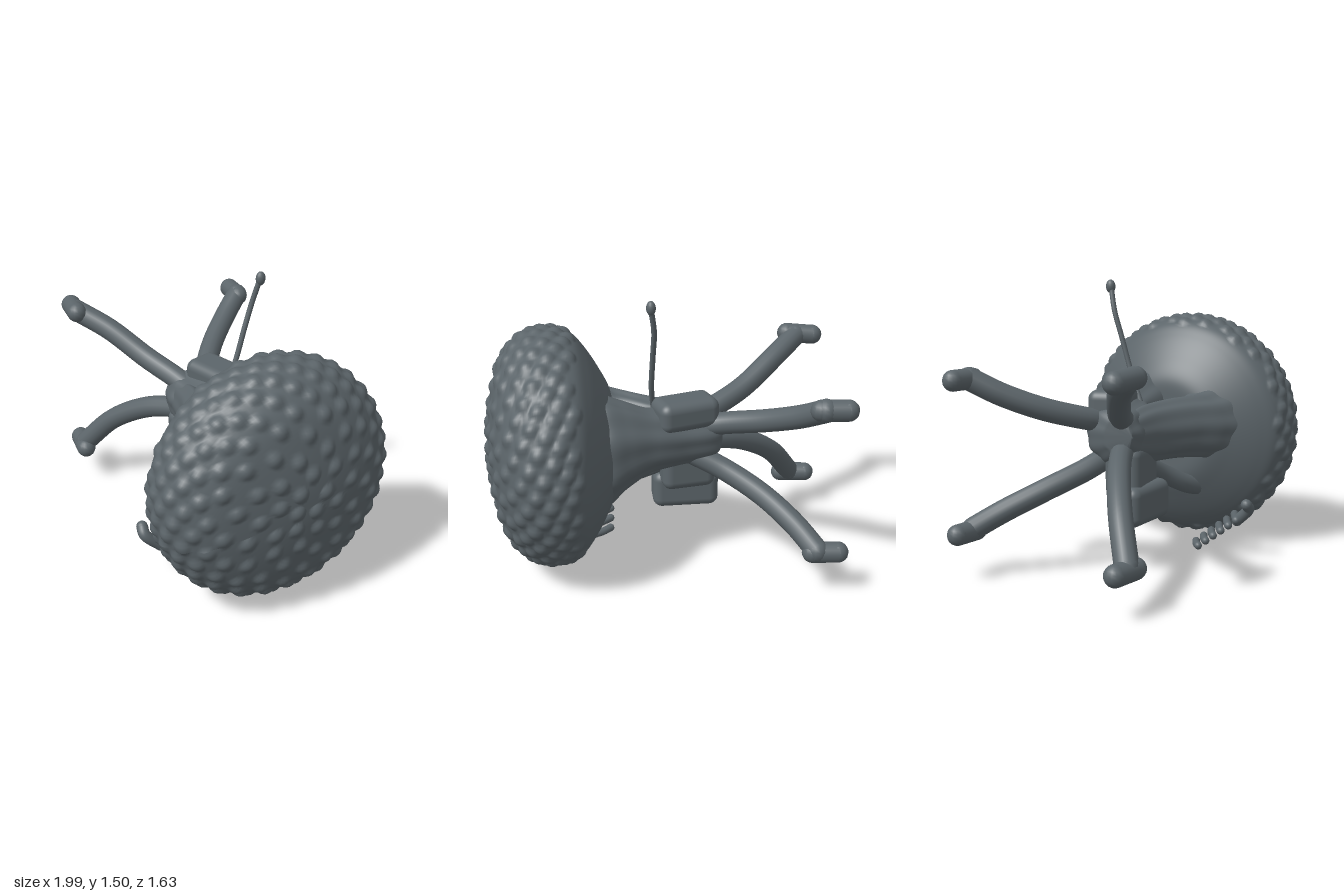
import * as THREE from 'three';
import { RoundedBoxGeometry } from 'three/addons/geometries/RoundedBoxGeometry.js';

const material = new THREE.MeshStandardMaterial({ color: 0x5c656a, side: THREE.DoubleSide });
const vec = (p) => new THREE.Vector3(...p);

export function createModel() {
  const model = new THREE.Group();

  const add = (name, geometry, parent = model) => {
    const mesh = new THREE.Mesh(geometry, material);
    mesh.name = name;
    parent.add(mesh);
    return mesh;
  };

  // Skin over elliptical sections: each is [x, y, z, halfHeight, halfDepth] across the x axis
  const loft = (sections, ripple = 0, sides = 60, steps = 40) => {
    const centres = new THREE.CatmullRomCurve3(sections.map(([x, y, z]) => vec([x, y, z])));
    const sizes = new THREE.CatmullRomCurve3(sections.map(([, , , h, d]) => vec([h, d, 0])));
    const pos = [], index = [];
    for (let i = 0; i <= steps; i++) {
      const c = centres.getPoint(i / steps), s = sizes.getPoint(i / steps);
      for (let j = 0; j < sides; j++) {
        const a = (j / sides) * Math.PI * 2;
        const k = 1 + ripple * Math.sin(a * 9 + i * 0.05);
        pos.push(c.x, c.y + Math.sin(a) * s.x * k, c.z + Math.cos(a) * s.y * k);
        if (i < steps) {
          const n = (j + 1) % sides, p = i * sides;
          index.push(p + j, p + j + sides, p + n, p + n, p + j + sides, p + n + sides);
        }
      }
    }
    const last = steps * sides;
    for (let j = 1; j < sides - 1; j++) {
      index.push(0, j, j + 1, last, last + j + 1, last + j);
    }
    const g = new THREE.BufferGeometry();
    g.setAttribute('position', new THREE.Float32BufferAttribute(pos, 3));
    g.setIndex(index);
    g.computeVertexNormals();
    return g;
  };

  // Rounded rod along a smooth path
  const rod = (name, points, radius, parent = model) => {
    const curve = new THREE.CatmullRomCurve3(points.map(vec));
    add(name, new THREE.TubeGeometry(curve, 32, radius, 14), parent);
    for (const p of [points[0], points.at(-1)]) {
      add(name + 'End', new THREE.SphereGeometry(radius, 14, 10), parent).position.set(...p);
    }
  };

  // Round cushion: lathe profile [radius, distance along axis]
  const profile = [[0, -0.325], [0.15, -0.325], [0.28, -0.32], [0.4, -0.265], [0.52, -0.19], [0.592, -0.12],
    [0.622, -0.01], [0.605, 0.1], [0.54, 0.19], [0.43, 0.26], [0.26, 0.305], [0.1, 0.327], [0, 0.33]];
  const outline = new THREE.SplineCurve(profile.map(([r, t]) => new THREE.Vector2(r, t))).getPoints(130);
  outline.forEach((p) => { p.x = Math.max(p.x, 0); });
  const cushion = new THREE.LatheGeometry(outline, 200);
  // Round knobs in a sunflower spread over the dome and rim
  const knobs = [];
  for (let i = 0; i < 230; i++) {
    const f = 0.42 + 0.56 * Math.sqrt((i + 0.5) / 230);
    const p = outline[Math.round((1.4 - f) * 130) % 131];
    const a = i * 2.39996;
    knobs.push(new THREE.Vector3(Math.sin(a) * p.x, p.y, Math.cos(a) * p.x));
  }
  const pos = cushion.attributes.position, nor = cushion.attributes.normal;
  const point = new THREE.Vector3(), normal = new THREE.Vector3();
  for (let i = 0; i < pos.count; i++) {
    point.fromBufferAttribute(pos, i);
    normal.fromBufferAttribute(nor, i);
    let height = 0;
    for (const k of knobs) height = Math.max(height, 1 - point.distanceToSquared(k) / 0.0018);
    point.addScaledVector(normal, 0.018 * height);
    pos.setXYZ(i, point.x, point.y, point.z);
  }
  cushion.computeVertexNormals();
  const seat = add('cushion', cushion);
  const tilt = 0.27;
  const axis = new THREE.Vector3(Math.cos(tilt), 0, Math.sin(tilt));
  seat.quaternion.setFromUnitVectors(new THREE.Vector3(0, 1, 0), axis);
  seat.position.set(0.6, 0.665, 0.2);

  // Fluted neck splitting into a back and a front branch that flare into the cushion
  add('neckBackBranch', loft([
    [-0.28, 0.72, 0.0, 0.09, 0.07], [-0.2, 0.71, -0.04, 0.15, 0.15], [0, 0.71, -0.03, 0.16, 0.165],
    [0.15, 0.72, -0.06, 0.17, 0.14], [0.3, 0.71, -0.04, 0.24, 0.17], [0.42, 0.68, -0.01, 0.31, 0.2],
    [0.54, 0.67, 0.02, 0.3, 0.18],
  ], 0.03));
  add('neckFrontBranch', loft([
    [-0.22, 0.7, 0.02, 0.11, 0.07], [-0.05, 0.7, 0.08, 0.15, 0.11], [0.1, 0.71, 0.19, 0.16, 0.15],
    [0.21, 0.71, 0.31, 0.17, 0.17], [0.33, 0.71, 0.39, 0.22, 0.21], [0.45, 0.7, 0.4, 0.22, 0.2],
  ], 0.03));

  // Thin strut below the neck
  rod('lowerStrut', [[-0.05, 0.55, 0.04], [0.1, 0.47, 0.12], [0.24, 0.38, 0.24], [0.4, 0.33, 0.33]], 0.052);

  // Blocks above and below the neck
  const block = (name, size, at, turn, radius) => {
    const mesh = add(name, new RoundedBoxGeometry(...size, 5, radius));
    mesh.position.set(...at);
    mesh.rotation.y = turn;
  };
  block('upperBlock', [0.33, 0.16, 0.2], [-0.04, 0.86, -0.095], 0, 0.05);
  block('lowerBlock', [0.36, 0.21, 0.18], [-0.115, 0.35, 0.07], -0.3, 0.05);
  block('lowerBlockStem', [0.29, 0.27, 0.2], [-0.1, 0.52, 0.02], -0.15, 0.05);

  // Four curved legs, each with a short cross foot
  const legs = {
    upperFrontLeg: {
      path: [[-0.1, 0.76, 0], [-0.25, 0.81, 0.01], [-0.45, 0.88, 0.05], [-0.68, 1.0, 0.12], [-0.86, 1.08, 0.2]],
      foot: [[-0.95, 1.08, 0.17], [-0.82, 1.09, 0.23]],
    },
    lowerFrontLeg: {
      path: [[-0.1, 0.66, 0], [-0.25, 0.63, 0.01], [-0.45, 0.57, 0.05], [-0.68, 0.43, 0.12], [-0.86, 0.23, 0.2]],
      foot: [[-0.95, 0.215, 0.17], [-0.82, 0.215, 0.23]],
    },
    upperBackLeg: {
      path: [[-0.1, 0.76, -0.08], [-0.23, 0.8, -0.19], [-0.36, 0.86, -0.37], [-0.45, 0.94, -0.56], [-0.5, 1.02, -0.71]],
      foot: [[-0.6, 1.02, -0.75], [-0.48, 1.02, -0.7]],
    },
    lowerBackLeg: {
      path: [[-0.1, 0.6, -0.08], [-0.23, 0.53, -0.19], [-0.36, 0.44, -0.37], [-0.45, 0.34, -0.56], [-0.5, 0.25, -0.71]],
      foot: [[-0.6, 0.24, -0.75], [-0.48, 0.24, -0.7]],
    },
  };
  for (const [name, { path, foot }] of Object.entries(legs)) {
    const leg = new THREE.Group();
    leg.name = name;
    model.add(leg);
    rod('shaft', path, 0.059, leg);
    rod('foot', foot, 0.054, leg);
  }

  // Thin upright stalk with a small bud
  rod('stalk', [[0.09, 0.85, 0.02], [0.125, 1.0, -0.04], [0.14, 1.2, -0.1], [0.15, 1.33, -0.14], [0.175, 1.45, -0.165]], 0.014);
  const bud = add('bud', new THREE.SphereGeometry(0.026, 14, 10));
  bud.scale.set(0.9, 1.4, 1);
  bud.position.set(0.178, 1.462, -0.17);

  // Loose ribbed sliver under the cushion
  rod('sliverHook', [[0.11, 0.31, 0.6], [0.14, 0.28, 0.61], [0.18, 0.2, 0.54]], 0.03);
  for (let i = 0; i < 6; i++) {
    const y = 0.21 - i * 0.037, z = 0.54 - i * 0.045;
    rod('sliverRib', [[0.15 + i * 0.018, y, z], [0.24 + i * 0.01, y - 0.002, z - 0.02], [0.29 + i * 0.01, y - 0.002, z - 0.03]], 0.022);
  }
  return model;
}
